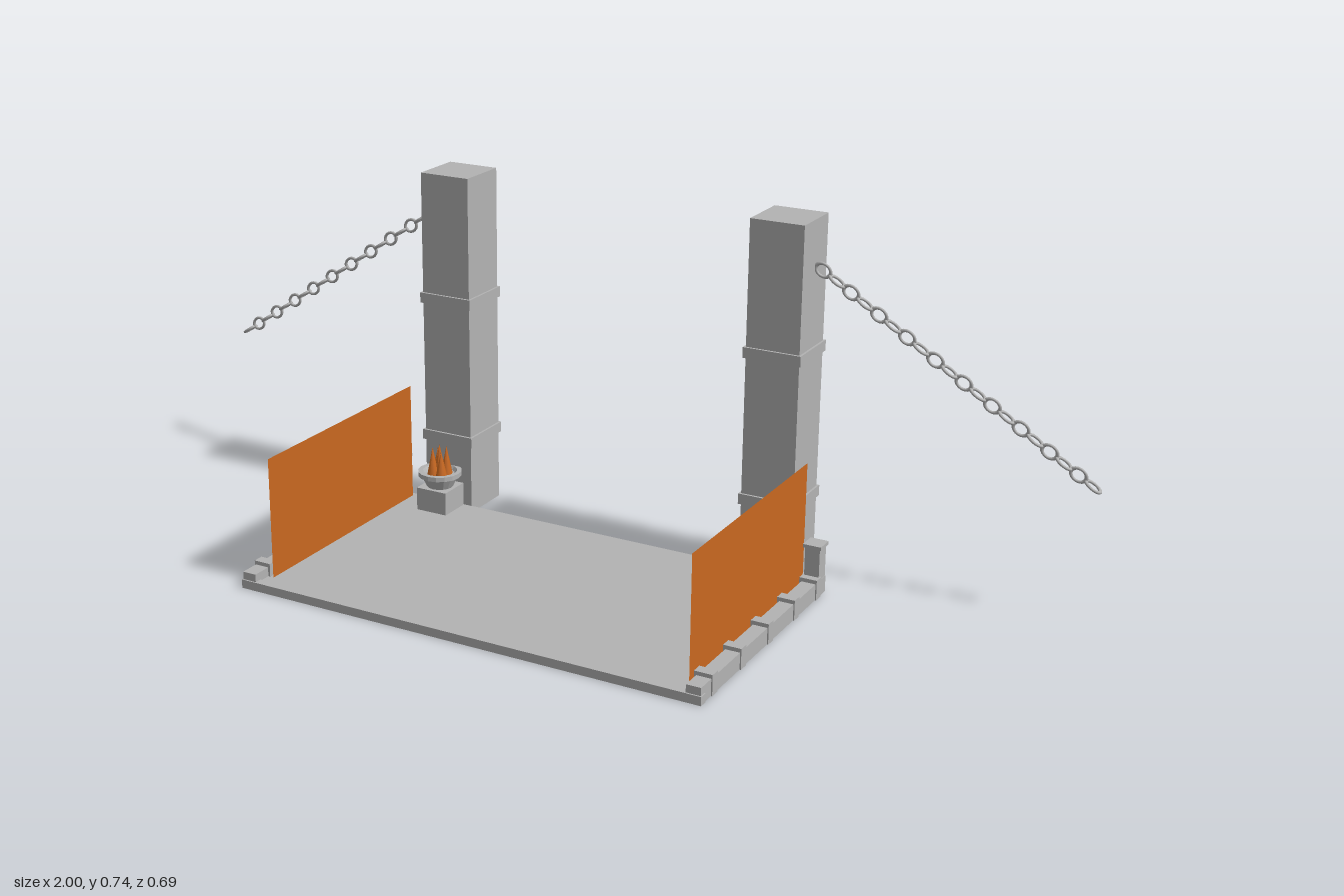
import * as THREE from 'three';

const stone = new THREE.MeshStandardMaterial({ color: 0xb3b3b3 });
stone.name = 'stone grey';
const orange = new THREE.MeshStandardMaterial({ color: 0xc86820, side: THREE.DoubleSide });
orange.name = 'burnt orange';

function add(parent, name, geometry, material, x = 0, y = 0, z = 0) {
  const mesh = new THREE.Mesh(geometry, material);
  mesh.name = name;
  mesh.position.set(x, y, z);
  parent.add(mesh);
  return mesh;
}

// Box given by its limits on each axis
function block(parent, name, x0, x1, y0, y1, z0, z1) {
  return add(parent, name, new THREE.BoxGeometry(x1 - x0, y1 - y0, z1 - z0), stone,
    (x0 + x1) / 2, (y0 + y1) / 2, (z0 + z1) / 2);
}

// Chain of oval links, each turned a quarter against the one before
function buildChain(s) {
  const chain = new THREE.Group();
  chain.name = 'chain';
  const start = new THREE.Vector3(s * 0.445, 0.635, -0.275);
  const end = new THREE.Vector3(s * 0.983, 0.278, -0.329);
  const along = end.clone().sub(start).normalize();
  const front = new THREE.Vector3(0, 0, 1);
  front.addScaledVector(along, -front.dot(along)).normalize();
  const across = front.clone().cross(along);
  const flat = new THREE.Matrix4().makeBasis(along, across, front);
  const link = new THREE.TorusGeometry(0.0125, 0.003, 8, 18).scale(1.3, 1, 1);
  for (let i = 0; i < 20; i++) {
    const mesh = add(chain, 'chainLink', link, stone);
    mesh.position.lerpVectors(start, end, i / 19);
    mesh.quaternion.setFromRotationMatrix(flat);
    if (i % 2) mesh.rotateX(Math.PI / 2);
  }
  return chain;
}

// Brazier: square pedestal, flared bowl and a cluster of flames
function buildBrazier(s) {
  const brazier = new THREE.Group();
  brazier.name = 'brazier';
  brazier.position.set(s * 0.372, 0, -0.176);
  block(brazier, 'pedestal', -0.036, 0.036, 0, 0.065, -0.036, 0.036);
  const profile = [[0, 0.063], [0.027, 0.063], [0.04, 0.09], [0.047, 0.09],
    [0.047, 0.1], [0.037, 0.1], [0.032, 0.092], [0, 0.09]];
  const bowl = new THREE.LatheGeometry(profile.map(p => new THREE.Vector2(...p)), 16);
  const flatBowl = bowl.toNonIndexed();
  flatBowl.computeVertexNormals();
  add(brazier, 'bowl', flatBowl, stone);
  for (let i = 0; i < 5; i++) {
    const a = Math.PI / 4 + i * Math.PI / 2;
    const r = i < 4 ? 0.015 : 0;
    const h = i < 4 ? 0.058 + 0.006 * (i % 2) : 0.07;
    add(brazier, 'flame', new THREE.ConeGeometry(0.013, h, 8), orange,
      r * Math.cos(a), 0.09 + h / 2, r * Math.sin(a));
  }
  return brazier;
}

// Everything on one side of the platform
function buildSide(s) {
  const side = new THREE.Group();
  side.name = s > 0 ? 'leftSide' : 'rightSide';
  const box = (name, x, w, y0, y1, z0, z1) =>
    block(side, name, s * x - w / 2, s * x + w / 2, y0, y1, z0, z1);

  // Kerb with studs
  box('kerb', 0.488, 0.03, 0, 0.034, -0.215, 0.342);
  for (const z of [0.29, 0.17, 0.05, -0.07, -0.176])
    box('kerbStud', 0.487, 0.037, 0, 0.042, z - 0.011, z + 0.011);

  // Rear corner post
  box('cornerPost', 0.487, 0.031, 0, 0.101, -0.212, -0.181);
  box('cornerPostCap', 0.487, 0.038, 0.101, 0.108, -0.215, -0.177);

  // Hanging cloth panel
  const panel = add(side, 'sidePanel', new THREE.PlaneGeometry(0.504, 0.252), orange,
    s * 0.46, 0.141, 0.05);
  panel.rotation.y = s * Math.PI / 2;

  // Tall pillar with two bands
  box('pillar', 0.373, 0.113, 0, 0.735, -0.327, -0.213);
  box('pillarBand', 0.373, 0.122, 0.15, 0.172, -0.331, -0.208);
  box('pillarBand', 0.373, 0.122, 0.456, 0.478, -0.331, -0.208);

  side.add(buildBrazier(s), buildChain(s));
  return side;
}

export function createModel() {
  const model = new THREE.Group();
  model.name = 'arenaPlatform';
  block(model, 'floor', -0.502, 0.502, 0, 0.015, -0.214, 0.34);
  block(model, 'frontLip', -0.505, 0.505, 0, 0.018, 0.327, 0.345);
  for (const s of [1, -1]) model.add(buildSide(s));
  return model;
}
